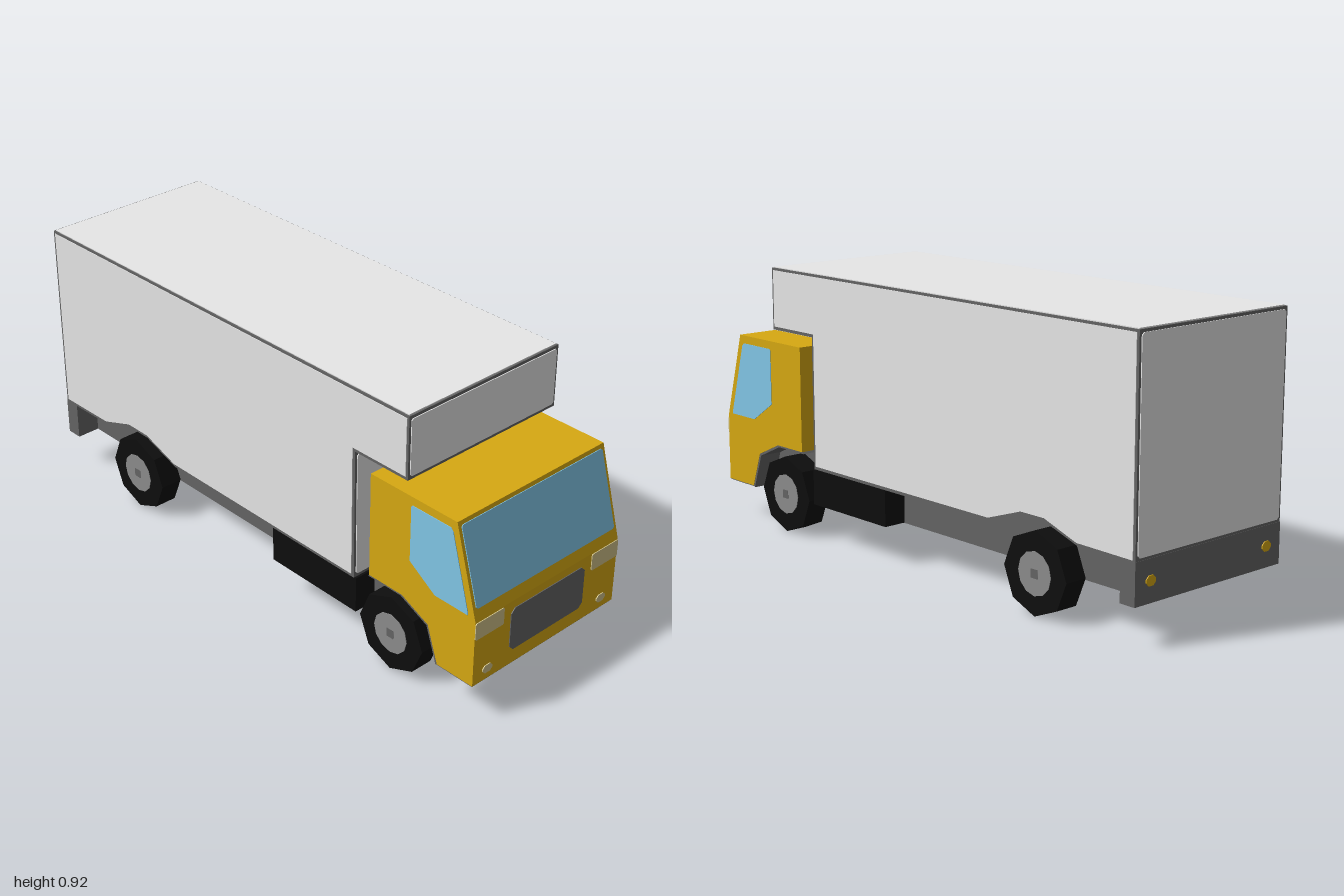
import * as THREE from 'three';

const mat = (name, color, side = THREE.FrontSide) => {
  const m = new THREE.MeshStandardMaterial({ color, side });
  m.name = name;
  return m;
};

export function createModel() {
  const yellow = mat('cab yellow', 0xd7a912);
  const panel = mat('panel light grey', 0xeeeeee);
  const dark = mat('chassis grey', 0x646464);
  const black = mat('tyre black', 0x0e0e0e);
  const glass = mat('window blue', 0x86cdee);
  const lamp = mat('lamp beige', 0xd2c48a);
  const hubGrey = mat('hub grey', 0x8c8c8c);

  const truck = new THREE.Group();
  truck.name = 'boxTruck';

  const add = (name, geometry, material, x = 0, y = 0, z = 0, parent = truck) => {
    const mesh = new THREE.Mesh(geometry, material);
    mesh.name = name;
    mesh.position.set(x, y, z);
    parent.add(mesh);
    return mesh;
  };
  // box given by its limits along each axis
  const block = (name, material, [x0, x1], [y0, y1], [z0, z1]) =>
    add(name, new THREE.BoxGeometry(x1 - x0, y1 - y0, z1 - z0), material,
      (x0 + x1) / 2, (y0 + y1) / 2, (z0 + z1) / 2);
  // side profile of [z, y] points, extruded across the width and centred on x
  const sideExtrude = (points, width) => {
    const shape = new THREE.Shape(points.map(([z, y]) => new THREE.Vector2(z, y)));
    return new THREE.ExtrudeGeometry(shape, { depth: width, bevelEnabled: false })
      .rotateY(-Math.PI / 2).translate(width / 2, 0, 0);
  };
  // thin upright plate with clipped corners, facing z
  const plate = (w, h, clip) => {
    const a = w / 2, b = h / 2;
    const shape = new THREE.Shape([
      [-a + clip, -b], [a - clip, -b], [a, -b + clip], [a, b - clip],
      [a - clip, b], [-a + clip, b], [-a, b - clip], [-a, -b + clip],
    ].map(([x, y]) => new THREE.Vector2(x, y)));
    return new THREE.ExtrudeGeometry(shape, { depth: 0.006, bevelEnabled: false })
      .translate(0, 0, -0.003);
  };

  // cab with the front wheel arch cut out of its profile
  const arch = [[0.56, 0.3], [0.7, 0.3], [0.81, 0.25], [0.853, 0.127]];
  add('cab', sideExtrude([[0.997, 0.127], [0.997, 0.358], [0.91, 0.663], [0.56, 0.663], ...arch], 0.638), yellow);
  const inner = arch.map(([z, y]) => [z - 0.006, y - 0.006]).reverse();
  add('wheelArchLiner', sideExtrude([...arch, ...inner], 0.636), dark);
  block('cabFloor', dark, [-0.318, 0.318], [0.124, 0.128], [0.85, 0.995]);

  // windscreen on the sloping face
  const screen = add('windscreen', plate(0.615, 0.264, 0.006), glass, 0, 0.523, 0.95);
  screen.rotation.x = -Math.atan2(0.087, 0.305);

  // grille and front lamps
  add('grille', plate(0.33, 0.152, 0.016), dark, 0, 0.254, 0.997);
  for (const s of [1, -1]) {
    add('headlight', plate(0.122, 0.06, 0.004), lamp, s * 0.258, 0.325, 0.997);
    add('fogLight', plate(0.042, 0.028, 0.01), lamp, s * 0.258, 0.165, 0.997);
    add('rearLight', plate(0.04, 0.032, 0.011), yellow, s * 0.255, 0.195, -0.998);
  }

  // side windows
  const windowShape = [[0.887, 0.635], [0.735, 0.635], [0.73, 0.63], [0.73, 0.44],
    [0.835, 0.371], [0.967, 0.371], [0.965, 0.385], [0.897, 0.625]];
  for (const s of [1, -1]) add('sideWindow', sideExtrude(windowShape, 0.006), glass, s * 0.318);

  // chassis, rear bumper and side tanks
  add('chassis', sideExtrude([[0.86, 0.127], [0.815, 0.25], [0.7, 0.297], [0.56, 0.297], [0.56, 0.255],
    [-0.38, 0.255], [-0.53, 0.31], [-0.63, 0.31], [-0.77, 0.26], [-0.99, 0.26], [-0.99, 0.127]], 0.47), dark);
  block('rearBumper', dark, [-0.319, 0.319], [0.127, 0.26], [-0.998, -0.94]);
  for (const s of [1, -1]) {
    const tank = block('sideTank', black, [0.22, 0.316], [0.128, 0.253], [0.115, 0.5]);
    tank.position.x *= s;
  }

  // cargo box frame with overhang above the cab and rear wheel arch
  add('cargoFrame', sideExtrude([[0.71, 0.92], [0.71, 0.707], [0.492, 0.707], [0.492, 0.253], [-0.38, 0.253],
    [-0.53, 0.303], [-0.63, 0.303], [-0.77, 0.257], [-0.997, 0.253], [-0.997, 0.92]], 0.636), dark);

  // light panels on every face of the cargo box
  const sidePanel = [[0.702, 0.912], [0.702, 0.718], [0.482, 0.718], [0.482, 0.264], [-0.385, 0.264],
    [-0.53, 0.313], [-0.63, 0.313], [-0.765, 0.267], [-0.988, 0.264], [-0.988, 0.912]];
  for (const s of [1, -1]) add('sidePanel', sideExtrude(sidePanel, 0.006), panel, s * 0.317);
  add('overhangFrontPanel', plate(0.62, 0.192, 0.006), panel, 0, 0.814, 0.71);
  add('frontPanel', plate(0.62, 0.43, 0.006), panel, 0, 0.48, 0.492);
  add('rearPanel', plate(0.62, 0.642, 0.008), panel, 0, 0.59, -0.997);
  block('roofPanel', panel, [-0.313, 0.313], [0.918, 0.923], [-0.99, 0.704]);
  block('overhangUnderPanel', panel, [-0.31, 0.31], [0.704, 0.71], [0.502, 0.7]);

  // eight-sided wheels with hub discs
  const disc = (radius, width, sides) =>
    new THREE.CylinderGeometry(radius, radius, width, sides).toNonIndexed().rotateZ(Math.PI / 2);
  const tyre = disc(0.134, 0.08, 8), hub = disc(0.07, 0.006, 12), cap = disc(0.02, 0.006, 4);
  tyre.computeVertexNormals();
  for (const s of [1, -1]) {
    for (const [name, z] of [['frontWheel', 0.657], ['rearWheel', -0.592]]) {
      const wheel = new THREE.Group();
      wheel.name = name;
      wheel.position.set(s * 0.279, 0.134, z);
      truck.add(wheel);
      add('tyre', tyre, black, 0, 0, 0, wheel);
      add('hub', hub, hubGrey, s * 0.039, 0, 0, wheel);
      add('hubCap', cap, dark, s * 0.041, 0, 0, wheel).rotation.x = Math.PI / 4;
    }
  }
  return truck;
}
